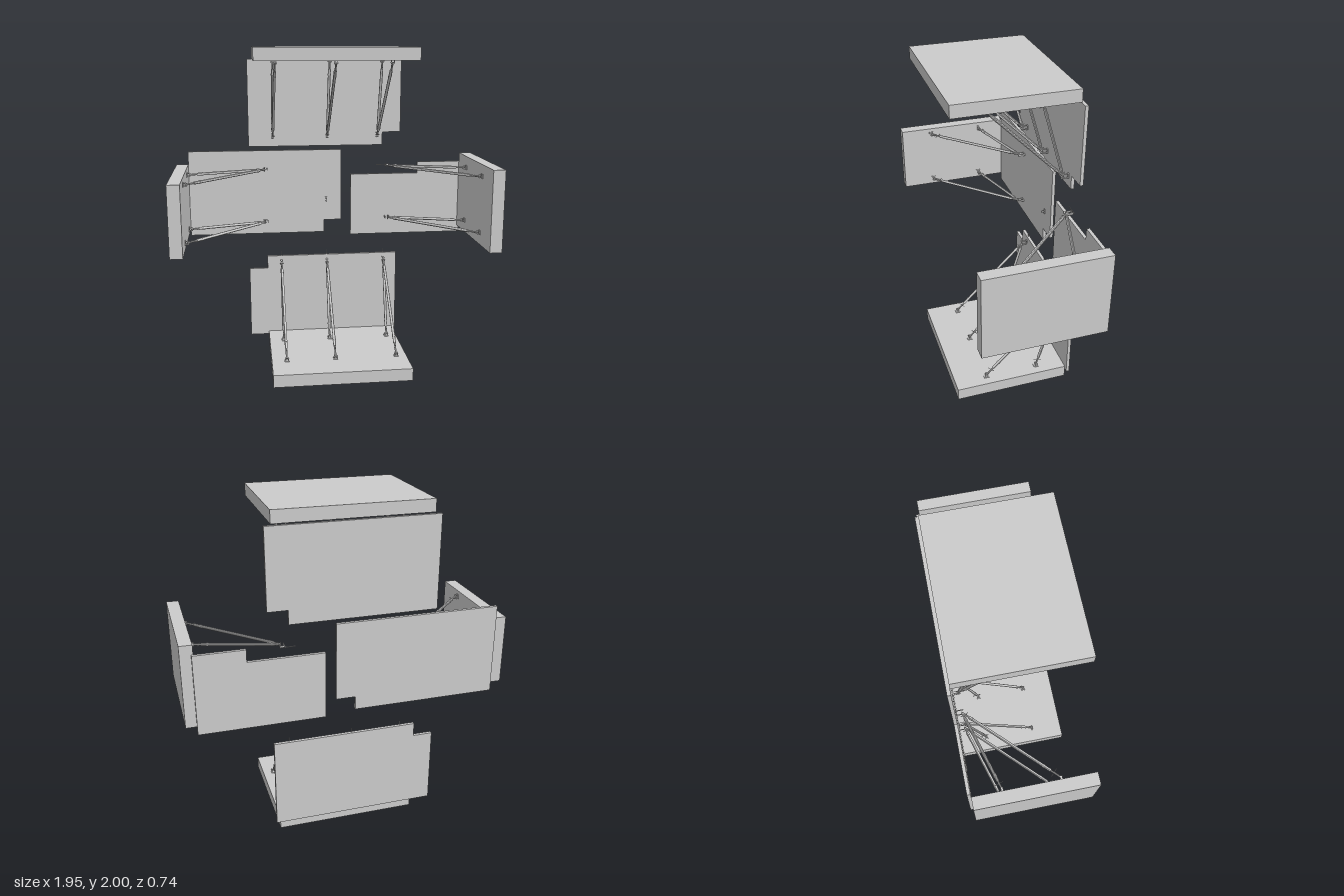
import * as THREE from 'three';

const material = new THREE.MeshStandardMaterial({ color: 0xcccccc, flatShading: true });
const BACK = -0.37, FACE = -0.35, FRONT = 0.37;

function add(parent, name, geometry, x = 0, y = 0, z = 0) {
  const mesh = new THREE.Mesh(geometry, material);
  mesh.name = name;
  mesh.position.set(x, y, z);
  parent.add(mesh);
  return mesh;
}

const box = (w, h, d) => new THREE.BoxGeometry(w, h, d);

// Round bar between two points
function rod(parent, name, a, b, radius, sides = 10) {
  const dir = b.clone().sub(a);
  const mesh = add(parent, name, new THREE.CylinderGeometry(radius, radius, dir.length(), sides));
  mesh.position.copy(a).add(b).multiplyScalar(0.5);
  mesh.quaternion.setFromUnitVectors(new THREE.Vector3(0, 1, 0), dir.normalize());
  return mesh;
}

// Telescopic brace in the local yz plane, from the slab foot to the wall joint
function brace(footZ, joint) {
  const group = new THREE.Group();
  group.name = 'brace';
  const foot = new THREE.Vector3(0, 0.016, footZ);
  const at = (t) => foot.clone().lerp(joint, t);
  const dir = joint.clone().sub(foot).normalize();
  const side = new THREE.Vector3(0, -dir.z, dir.y);

  rod(group, 'innerTube', at(0), at(1), 0.0055, 8);
  rod(group, 'outerTube', at(0.1), at(0.93), 0.009);
  rod(group, 'collar', at(0.16), at(0.18), 0.0105);
  rod(group, 'collar', at(0.89), at(0.91), 0.0105);

  // Adjusting handles across the tube near each end
  for (const t of [0.07, 0.96]) {
    const c = at(t);
    const reach = t < 0.5 ? 0.026 : 0.018;
    rod(group, 'handle', c.clone().addScaledVector(side, -reach), c.clone().addScaledVector(side, reach), 0.002, 6);
  }

  // Foot plate with two lugs and a hinge pin
  add(group, 'footPlate', box(0.028, 0.004, 0.032), 0, 0.002, footZ);
  for (const s of [-1, 1]) add(group, 'footLug', box(0.003, 0.022, 0.014), s * 0.008, 0.013, footZ);
  rod(group, 'hingePin', new THREE.Vector3(-0.013, 0.016, footZ), new THREE.Vector3(0.013, 0.016, footZ), 0.003, 8);
  return group;
}

// Pair of braces meeting at a wall bracket; local y points away from the slab
function bracePair(offset) {
  const group = new THREE.Group();
  group.name = 'bracePair';
  group.position.x = offset;
  const joint = new THREE.Vector3(0, 0.492, -0.314);
  for (const footZ of [0.165, -0.173]) group.add(brace(footZ, joint));

  // Wall bracket: two arms, pin and an anchor strip let into the panel
  for (const y of [0.482, 0.508]) add(group, 'bracketArm', box(0.012, 0.003, 0.052), 0, y, -0.329);
  add(group, 'bracketPlate', box(0.014, 0.03, 0.003), 0, 0.495, FACE + 0.002);
  rod(group, 'bracketPin', new THREE.Vector3(-0.012, 0.492, -0.314), new THREE.Vector3(0.012, 0.492, -0.314), 0.003, 8);
  add(group, 'anchorStrip', box(0.004, 0.085, 0.003), 0, 0.523, -0.36);
  return group;
}

// Thick slab, notched back panel and braces standing on the slab face
function unit({ name, slab, outline, origin, turn, offsets }) {
  const group = new THREE.Group();
  group.name = name;
  const [x0, x1, y0, y1] = slab;
  add(group, 'slab', box(x1 - x0, y1 - y0, FRONT - FACE), (x0 + x1) / 2, (y0 + y1) / 2, (FRONT + FACE) / 2);
  const shape = new THREE.Shape(outline.map(([x, y]) => new THREE.Vector2(x, y)));
  add(group, 'backPanel', new THREE.ExtrudeGeometry(shape, { depth: FACE - BACK, bevelEnabled: false }), 0, 0, BACK);
  const braces = new THREE.Group();
  braces.name = 'braces';
  braces.position.set(origin[0], origin[1], 0);
  braces.rotation.z = turn;
  for (const offset of offsets) braces.add(bracePair(offset));
  group.add(braces);
  return group;
}

export function createModel() {
  const model = new THREE.Group();
  model.name = 'bracedPanels';

  model.add(unit({
    name: 'lowerUnit', slab: [-0.403, 0.451, 0, 0.078],
    outline: [[-0.524, 0.058], [0.477, 0.058], [0.477, 0.615], [-0.403, 0.615], [-0.403, 0.53], [-0.524, 0.53]],
    origin: [0, 0.078], turn: 0, offsets: [-0.31, -0.002, 0.385],
  }));
  model.add(unit({
    name: 'upperUnit', slab: [-0.482, 0.451, 1.925, 2],
    outline: [[-0.513, 1.36], [0.371, 1.36], [0.371, 1.445], [0.491, 1.445], [0.491, 1.92], [-0.513, 1.92]],
    origin: [0, 1.925], turn: Math.PI, offsets: [0.356, 0, -0.332],
  }));

  // Side units: the offsets run along y
  const rightUnit = unit({
    name: 'rightUnit', slab: [-0.979, -0.904, 0.82, 1.25],
    outline: [[-0.904, 0.775], [-0.02, 0.775], [-0.02, 0.858], [0.096, 0.858], [0.096, 1.333], [-0.904, 1.333]],
    origin: [-0.904, 0], turn: -Math.PI / 2, offsets: [-1.213, -0.861],
  });
  model.add(rightUnit);
  model.add(unit({
    name: 'leftUnit', slab: [0.9, 0.975, 0.795, 1.297],
    outline: [[0.16, 0.752], [0.911, 0.752], [0.911, 1.24], [0.613, 1.24], [0.613, 1.165], [0.16, 1.165]],
    origin: [0.9, 0], turn: Math.PI / 2, offsets: [1.225, 0.872],
  }));

  // Small lifting eye on the wide side panel
  add(rightUnit, 'eyePlate', box(0.013, 0.034, 0.004), -0.006, 0.998, FACE + 0.002);
  const eye = add(rightUnit, 'eyeRing', new THREE.TorusGeometry(0.01, 0.0025, 6, 12), -0.006, 0.998, FACE + 0.012);
  eye.rotation.y = Math.PI / 2;

  return model;
}
